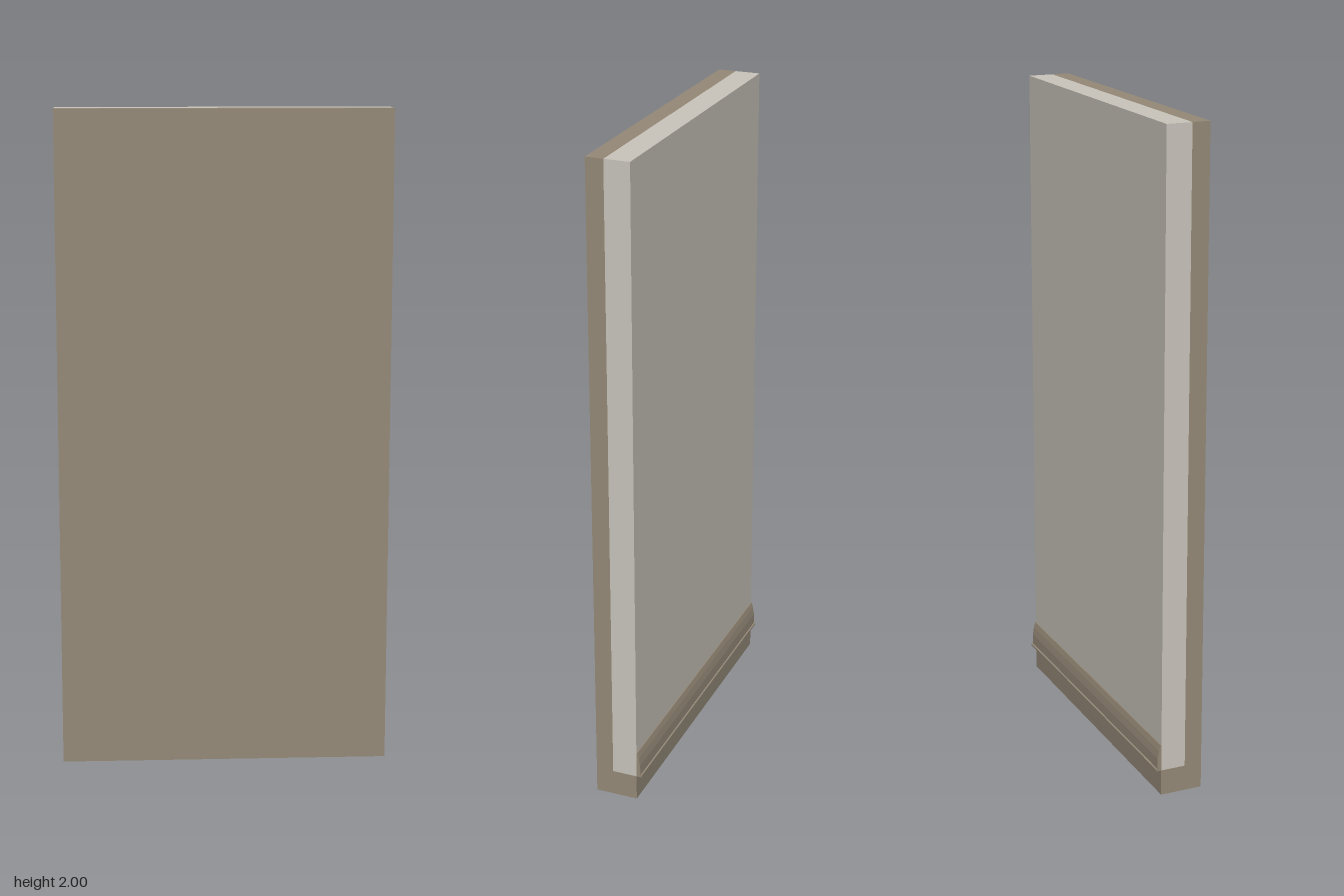
import * as THREE from 'three';

const WIDTH = 1;

// Extrudes a [z, y] cross-section along the full width of the wall
function strip(name, points, material) {
  const shape = new THREE.Shape(points.map(([z, y]) => new THREE.Vector2(-z, y)));
  const geometry = new THREE.ExtrudeGeometry(shape, { depth: WIDTH, bevelEnabled: false });
  geometry.rotateY(Math.PI / 2);
  geometry.translate(-WIDTH / 2, 0, 0);
  const mesh = new THREE.Mesh(geometry, material);
  mesh.name = name;
  return mesh;
}

export function createModel() {
  const brown = new THREE.MeshStandardMaterial({ color: 0x968a78 });
  brown.name = 'taupe';
  const light = new THREE.MeshStandardMaterial({ color: 0xcac6bd });
  light.name = 'pale grey';

  const front = 0.074, seam = 0.02, back = -0.057;
  const baseTop = 0.08;

  const group = new THREE.Group();
  group.name = 'wallPanel';

  // Front board with a foot that carries the back panel
  group.add(strip('frontBoard', [
    [front, 0], [front, 2], [seam, 2], [seam, baseTop], [back, baseTop], [back, 0],
  ], brown));

  // Pale back panel
  group.add(strip('backPanel', [
    [seam, baseTop], [seam, 2], [back, 2], [back, baseTop],
  ], light));

  // Tapered skirting strip with a small drip lip
  group.add(strip('skirting', [
    [back, 0.08], [back, 0.163], [-0.06, 0.163], [-0.065, 0.145],
    [-0.069, 0.12], [-0.07, 0.088], [-0.074, 0.086], [-0.074, 0.08],
  ], brown));

  return group;
}
